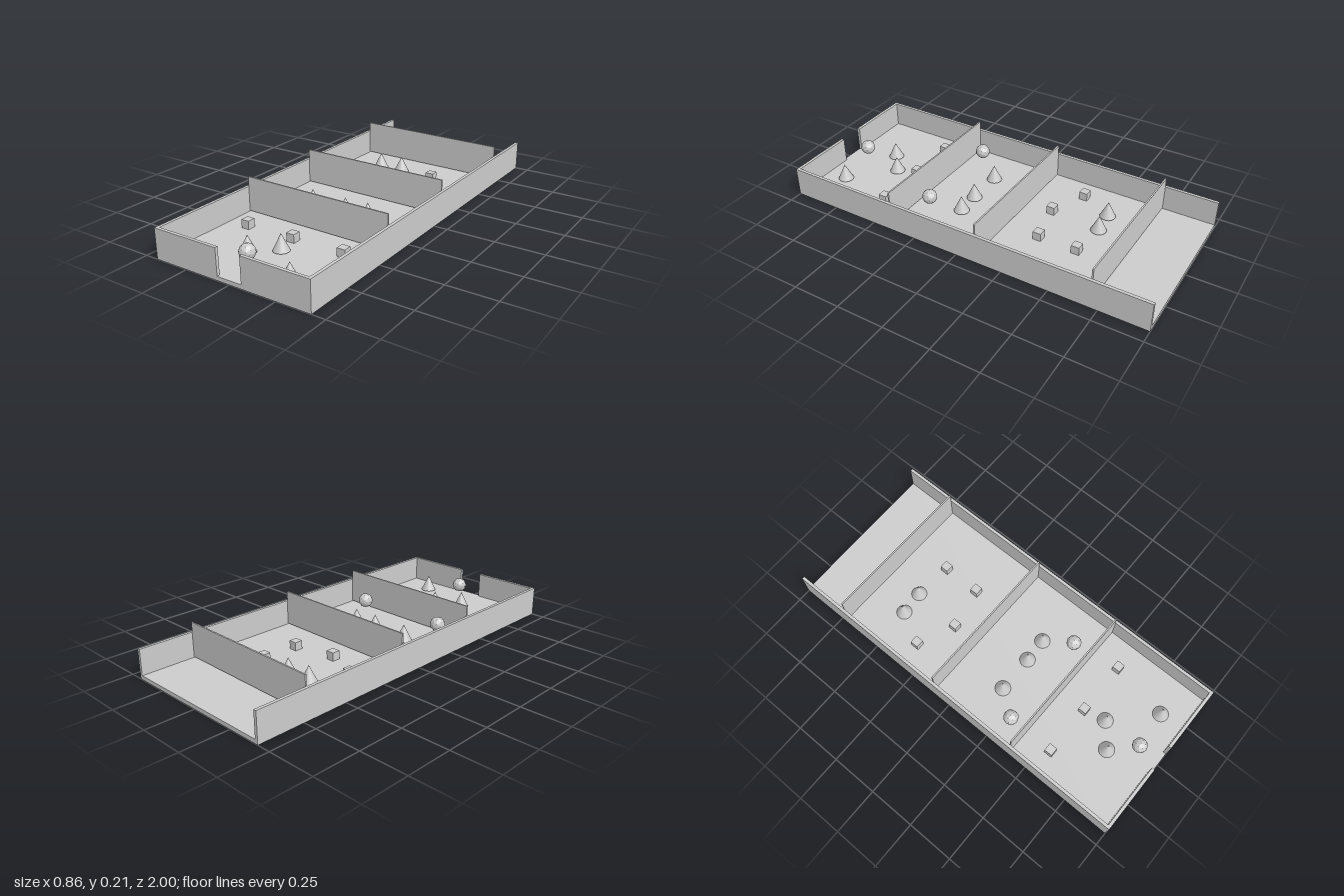
import * as THREE from 'three';

const smooth = new THREE.MeshStandardMaterial({ color: 0xcccccc });
const flat = new THREE.MeshStandardMaterial({ color: 0xcccccc, flatShading: true });

export function createModel() {
  const model = new THREE.Group();

  const add = (name, geometry, x, y, z, material = flat) => {
    const mesh = new THREE.Mesh(geometry, material);
    mesh.name = name;
    mesh.position.set(x, y, z);
    model.add(mesh);
    return mesh;
  };

  const W = 0.43, floorTop = 0.021, wallTop = 0.155, t = 0.016;
  const wallH = wallTop - floorTop, wallY = (wallTop + floorTop) / 2;

  // Floor slab
  add('floor', new THREE.BoxGeometry(2 * W, floorTop, 2), 0, floorTop / 2, 0);

  // Long side walls, and front walls leaving a doorway; the back is open
  const doorHalf = 0.067;
  const frontLength = W - t - doorHalf;
  for (const [side, s] of [['left', 1], ['right', -1]]) {
    add(side + 'Wall', new THREE.BoxGeometry(t, wallH, 2), s * (W - t / 2), wallY, 0);
    add(side + 'FrontWall', new THREE.BoxGeometry(frontLength, wallH, t),
      s * (doorHalf + frontLength / 2), wallY, 1 - t / 2);
  }

  // Taller dividers, slightly skewed and just clear of the floor
  const dividerBottom = 0.026, dividerTop = 0.208;
  const divider = new THREE.BoxGeometry(0.824, dividerTop - dividerBottom, 0.008);
  for (const z of [0.397, -0.102, -0.713]) {
    add('divider', divider, 0, (dividerTop + dividerBottom) / 2, z).rotation.y = -0.014;
  }

  // Cone obstacles
  const coneH = 0.085;
  const cone = new THREE.ConeGeometry(0.041, coneH, 32);
  const cones = [
    [-0.2, -0.51], [-0.07, -0.52], [-0.19, 0.16], [0.01, 0.16],
    [0.14, 0.155], [0.01, 0.665], [-0.105, 0.76], [0.215, 0.86],
  ];
  for (const [x, z] of cones) add('cone', cone, x, 0.027 + coneH / 2, z, smooth);

  // Cube obstacles
  const size = 0.044;
  const cube = new THREE.BoxGeometry(size, size, size);
  const cubes = [
    [0.133, -0.5], [-0.289, -0.337], [-0.09, -0.249], [0.133, -0.292],
    [-0.289, 0.549], [-0.015, 0.549], [0.27, 0.549],
  ];
  for (const [x, z] of cubes) add('cube', cube, x, floorTop + size / 2 + 0.001, z);

  // Faceted balls hovering above the floor
  const ball = new THREE.IcosahedronGeometry(0.039, 1);
  for (const [x, z] of [[-0.297, 0.3], [0.212, 0.3], [-0.003, 0.875]]) {
    add('ball', ball, x, 0.104, z);
  }

  return model;
}
